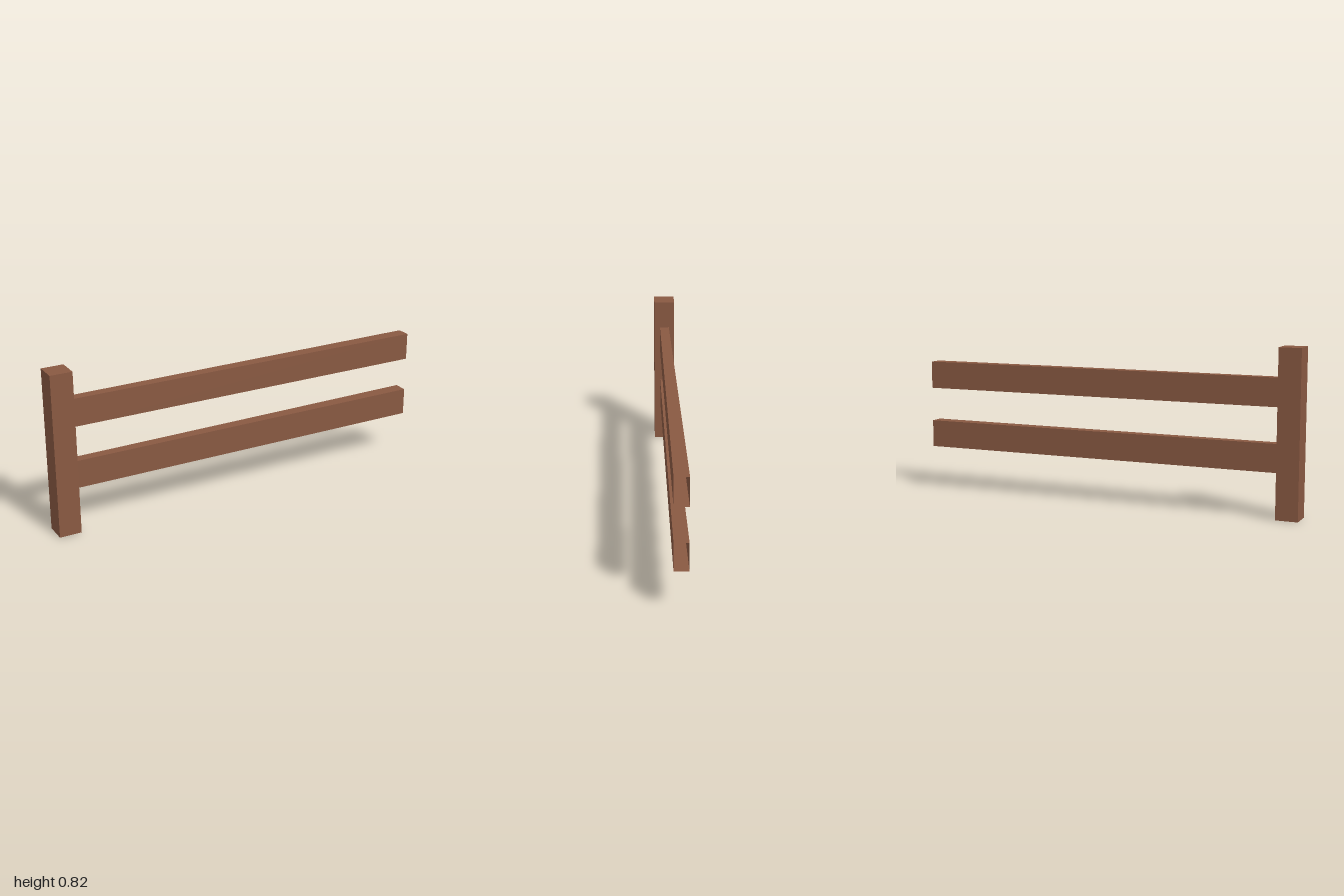
import * as THREE from 'three';

const wood = new THREE.MeshStandardMaterial({ color: 0x895942, side: THREE.DoubleSide });
wood.name = 'brownWood';

// Box without the listed faces (0 +x, 1 -x, 2 +y, 3 -y, 4 +z, 5 -z)
function openBox(w, h, d, openFaces) {
  const geo = new THREE.BoxGeometry(w, h, d);
  const index = Array.from(geo.index.array);
  geo.setIndex(index.filter((_, i) => !openFaces.includes(Math.floor(i / 6))));
  geo.clearGroups();
  return geo;
}

function addPart(group, name, geo, x, y) {
  const mesh = new THREE.Mesh(geo, wood);
  mesh.name = name;
  mesh.position.set(x, y, 0);
  group.add(mesh);
}

// Hollow rail, open at both ends, widening away from the post
function railGeometry(length, height, nearDepth, farDepth) {
  const geo = openBox(length, height, 1, [0, 1]);
  const pos = geo.attributes.position;
  for (let i = 0; i < pos.count; i++) {
    pos.setZ(i, pos.getZ(i) * (pos.getX(i) < 0 ? nearDepth : farDepth));
  }
  geo.computeVertexNormals();
  return geo;
}

export function createModel() {
  const fence = new THREE.Group();
  fence.name = 'fenceSection';

  // Post, open underneath
  const postWidth = 0.11, postHeight = 0.817;
  addPart(fence, 'post', openBox(postWidth, postHeight, 0.11, [3]), -1 + postWidth / 2, postHeight / 2);

  // Two rails running from the post
  const start = -1 + postWidth, length = 1 - start;
  const rails = [['lowerRail', 0.29], ['upperRail', 0.603]];
  for (const [name, y] of rails) {
    addPart(fence, name, railGeometry(length, 0.139, 0.049, 0.069), start + length / 2, y);
  }
  return fence;
}
